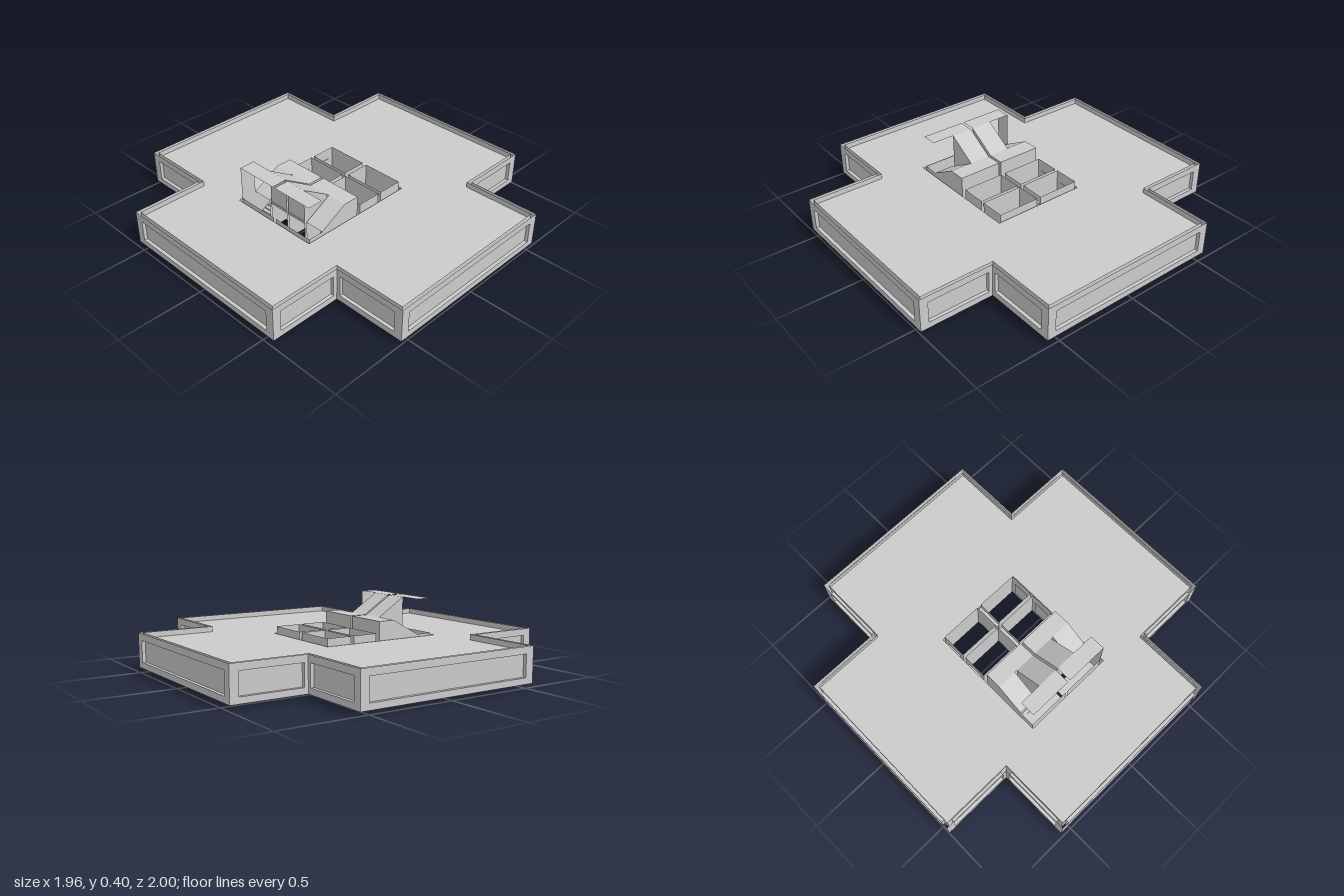
import * as THREE from 'three';

const both = new THREE.MeshStandardMaterial({ color: 0xcccccc, side: THREE.DoubleSide });
const single = new THREE.MeshStandardMaterial({ color: 0xcccccc });

function add(parent, name, geometry, material = both) {
  const mesh = new THREE.Mesh(geometry, material);
  mesh.name = name;
  parent.add(mesh);
  return mesh;
}

// Flat four-cornered face, corners counter-clockwise from its front
function quad(parent, name, a, b, c, d, material) {
  const g = new THREE.BufferGeometry();
  g.setAttribute('position', new THREE.Float32BufferAttribute([...a, ...b, ...c, ...d], 3));
  g.setIndex([0, 1, 2, 0, 2, 3]);
  g.computeVertexNormals();
  return add(parent, name, g, material);
}

// Strip spanning z0..z1 above a line in the xy plane
function strip(parent, name, [xa, ya], [xb, yb], z0, z1) {
  return quad(parent, name, [xa, ya, z1], [xb, yb, z1], [xb, yb, z0], [xa, ya, z0]);
}

const toShape = (pts) => new THREE.Shape(pts.map(([x, y]) => new THREE.Vector2(x, y)));
const rect = (x0, x1, y0, y1) => [[x0, y0], [x1, y0], [x1, y1], [x0, y1]];

// Upright wall with an outline in the xy plane
function wall(parent, name, pts, z) {
  add(parent, name, new THREE.ShapeGeometry(toShape(pts))).position.z = z;
}

// Four vertical sides without top and bottom
function openBox(parent, name, x0, x1, y0, y1, z0, z1) {
  const g = new THREE.BoxGeometry(x1 - x0, y1 - y0, z1 - z0);
  const index = Array.from(g.index.array);
  index.splice(12, 12);
  g.setIndex(index);
  g.clearGroups();
  add(parent, name, g).position.set((x0 + x1) / 2, (y0 + y1) / 2, (z0 + z1) / 2);
}

// Cross-shaped plan, pulled in by an inset; every third corner from 1 is concave
function crossPlan(inset) {
  const tx = 0.982 - inset, tz = 1 - inset, ax = 0.55 - inset, az = 0.56 - inset;
  const half = [[ax, tz], [ax, az], [tx, az], [tx, -az], [ax, -az], [ax, -tz]];
  return [...half, ...half.map(([x, z]) => [-x, -z])];
}

const BOTTOM = 0.02, TOP = 0.22, DEPTH = 0.02;

function buildFacade(parent) {
  const outer = crossPlan(0), inner = crossPlan(DEPTH);
  outer.forEach((a, i) => {
    const j = (i + 1) % 12, b = outer[j];
    const w = Math.hypot(b[0] - a[0], b[1] - a[1]);
    const panel = new THREE.Group();
    panel.name = 'facadePanel';
    panel.position.set(a[0], 0, a[1]);
    panel.rotation.y = Math.atan2(a[1] - b[1], b[0] - a[0]);
    parent.add(panel);

    // Outer skin with the window opening
    const margin = (k) => (k % 3 === 1 ? 0.022 : 0.05);
    const x0 = margin(i), x1 = w - margin(j), y0 = 0.055, y1 = 0.18;
    const shape = toShape(rect(0, w, BOTTOM, TOP));
    shape.holes.push(new THREE.Path(rect(x0, x1, y0, y1).map((p) => new THREE.Vector2(...p))));
    add(panel, 'outerSkin', new THREE.ShapeGeometry(shape));

    // Window reveal
    const corners = rect(x0, x1, y0, y1);
    corners.forEach((p, k) => {
      const q = corners[(k + 1) % 4];
      quad(panel, 'windowReveal', [...p, 0], [...q, 0], [...q, -DEPTH], [...p, -DEPTH]);
    });

    // Inner skin, also closing the window
    const c = inner[i], d = inner[j];
    quad(parent, 'innerSkin', [c[0], BOTTOM, c[1]], [d[0], BOTTOM, d[1]],
      [d[0], TOP, d[1]], [c[0], TOP, c[1]]);
  });
}

function buildSlabs(parent) {
  const shape = toShape(crossPlan(DEPTH));
  shape.holes.push(new THREE.Path(rect(-0.48, 0.255, -0.285, 0.285).map((p) => new THREE.Vector2(...p))));
  for (const [name, y] of [['floorSlab', 0.03], ['ceilingSlab', 0.188]]) {
    const slab = add(parent, name, new THREE.ShapeGeometry(shape));
    slab.rotation.x = -Math.PI / 2;
    slab.position.y = y;
  }
  openBox(parent, 'coreLining', -0.48, 0.255, 0.03, 0.188, -0.285, 0.285);
}

function buildShafts(parent) {
  for (const [x0, x1] of [[-0.075, 0.075], [0.095, 0.247]]) {
    for (const [z0, z1, side] of [[0.012, 0.268, 1], [-0.273, -0.015, -1]]) {
      openBox(parent, 'liftShaft', x0, x1, 0, 0.23, z0, z1);
      // Lift door set in the outer wall
      const door = add(parent, 'liftDoor', new THREE.BoxGeometry(0.1, 0.13, 0.014));
      door.position.set((x0 + x1) / 2, 0.095, side > 0 ? z1 + 0.004 : z0 - 0.004);
    }
    strip(parent, 'shaftDivider', [x0, 0.19], [x1, 0.19], -0.015, 0.012);
  }
}

// One half of the stairwell, on the +z side
function buildStairHalf() {
  const g = new THREE.Group();
  g.name = 'stairwell';
  const xb = -0.465, xl = -0.37, xm = -0.2, xf = -0.1;
  const zi = 0.007, za = 0.135, zb = 0.15, zo = 0.272;
  const low = 0.2, mid = 0.295, high = 0.402;

  // Stepped and sloping cover above the flights
  strip(g, 'upperLandingCover', [xb, high], [xl, high], zi, zo);
  strip(g, 'innerSlope', [xl, high], [xm, mid], zi, za);
  strip(g, 'outerSlope', [xl, low], [xm, mid], zb, zo);
  strip(g, 'middleLandingCover', [xm, mid], [xf, mid], zi, zo);

  // Enclosing walls
  wall(g, 'innerFlightWall', [[xl, BOTTOM], [xm, BOTTOM], [xm, mid], [xl, high]], za);
  wall(g, 'outerFlightWall', [[xl, BOTTOM], [xm, BOTTOM], [xm, mid], [xl, low]], zb);
  wall(g, 'centreWall', [[xl, BOTTOM], [xf, BOTTOM], [xf, mid], [xm, mid], [xl, high]], zi);
  wall(g, 'sideWall', [[xb, BOTTOM], [xf, BOTTOM], [xf, mid], [xm, mid], [xl, low], [xb, low]], zo);
  strip(g, 'endWall', [xf, BOTTOM], [xf, mid], zi, zo);
  strip(g, 'rearWall', [xb, BOTTOM], [xb, low], zi, zo);
  strip(g, 'landingWall', [xl, low], [xl, high], zi, za);
  quad(g, 'landingSideWall', [xl, low, zo], [xb, low, zo], [xb, high, zo], [xl, high, zo], single);

  // Two flights of steps and the landing between them
  const n = 8, run = (xm - xl) / n;
  for (let i = 0; i < n; i++) {
    const x = xl + run * (i + 0.5);
    const outer = add(g, 'outerStep', new THREE.BoxGeometry(run, 0.014, zo - zb));
    outer.position.set(x, 0.025 + 0.01 * i, (zb + zo) / 2);
    const inner = add(g, 'innerStep', new THREE.BoxGeometry(run, 0.014, za - zi));
    inner.position.set(x, 0.19 - 0.011 * i, (zi + za) / 2);
  }
  strip(g, 'middleLanding', [xm, 0.105], [xf, 0.105], zi, zo);
  strip(g, 'lowerLanding', [xb, 0.03], [xl, 0.03], zi, zo);
  return g;
}

export function createModel() {
  const model = new THREE.Group();
  model.name = 'buildingStorey';
  buildFacade(model);
  buildSlabs(model);
  buildShafts(model);
  const half = buildStairHalf();
  const mirrored = half.clone();
  mirrored.scale.z = -1;
  model.add(half, mirrored);
  return model;
}
